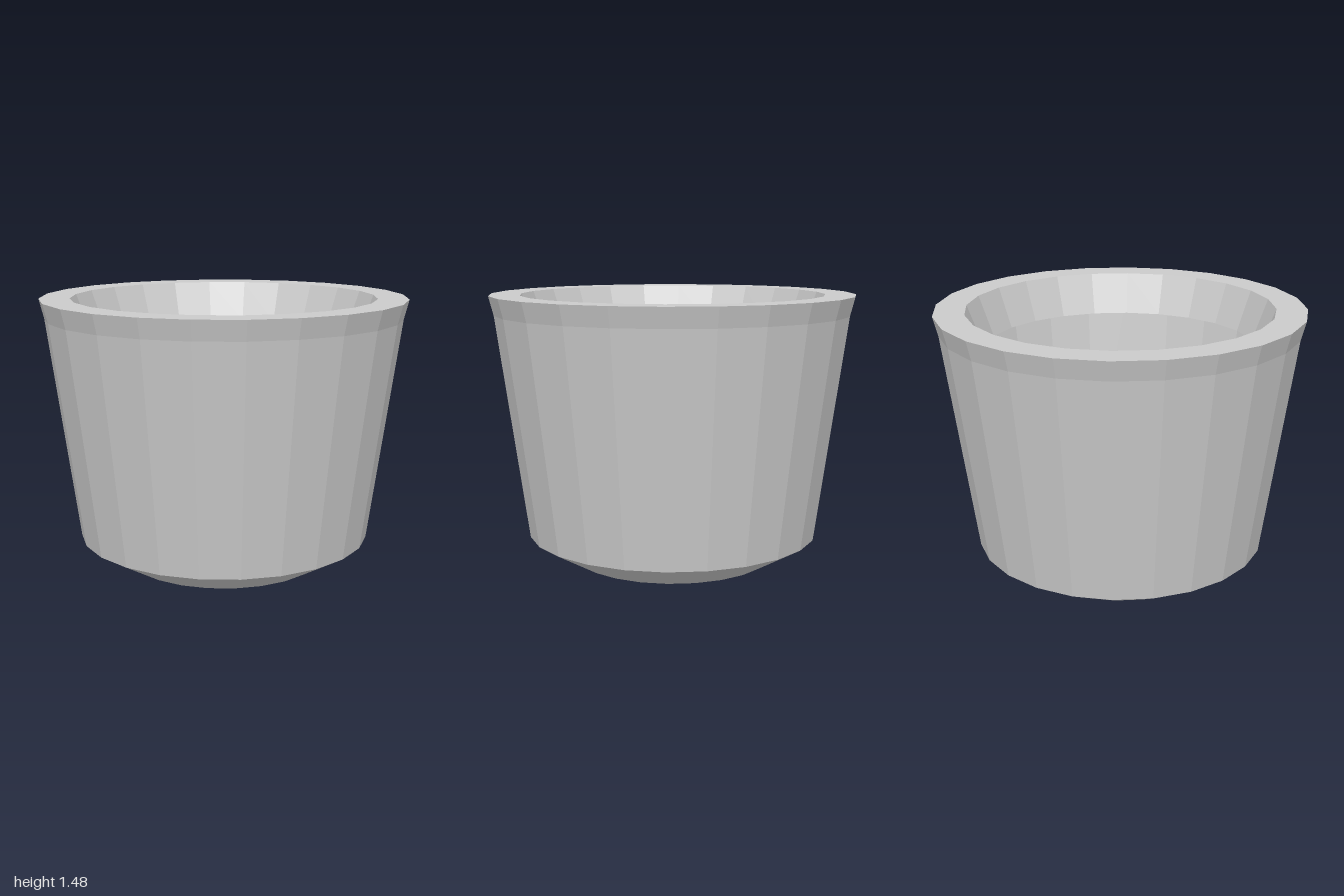
import * as THREE from 'three';

const SIDES = 24;

// Faceted surface of revolution; profile runs counter-clockwise so faces point outward
function facetedRing(name, profile, material) {
  const points = profile.map(([r, y]) => new THREE.Vector2(r, y));
  const geometry = new THREE.LatheGeometry(points, SIDES).toNonIndexed();
  geometry.computeVertexNormals();
  const mesh = new THREE.Mesh(geometry, material);
  mesh.name = name;
  return mesh;
}

export function createModel() {
  // Thin open shell, visible from inside as well
  const grey = new THREE.MeshStandardMaterial({ color: 0xcbcbcb, side: THREE.DoubleSide });
  grey.name = 'grey';

  const model = new THREE.Group();
  model.name = 'taperedPot';
  model.add(
    // Sloped underside around the open bottom
    facetedRing('bottomBevel', [[0.557, 0], [0.805, 0.143]], grey),
    // Tapered wall with a slight flare at the lip
    facetedRing('outerWall', [[0.805, 0.143], [0.973, 1.37], [1, 1.475]], grey),
    // Flat top ring
    facetedRing('rim', [[1, 1.475], [0.833, 1.475]], grey),
    // Short lip sloping down inside, open at its lower edge
    facetedRing('innerLip', [[0.833, 1.475], [0.75, 1.25]], grey),
  );
  return model;
}
